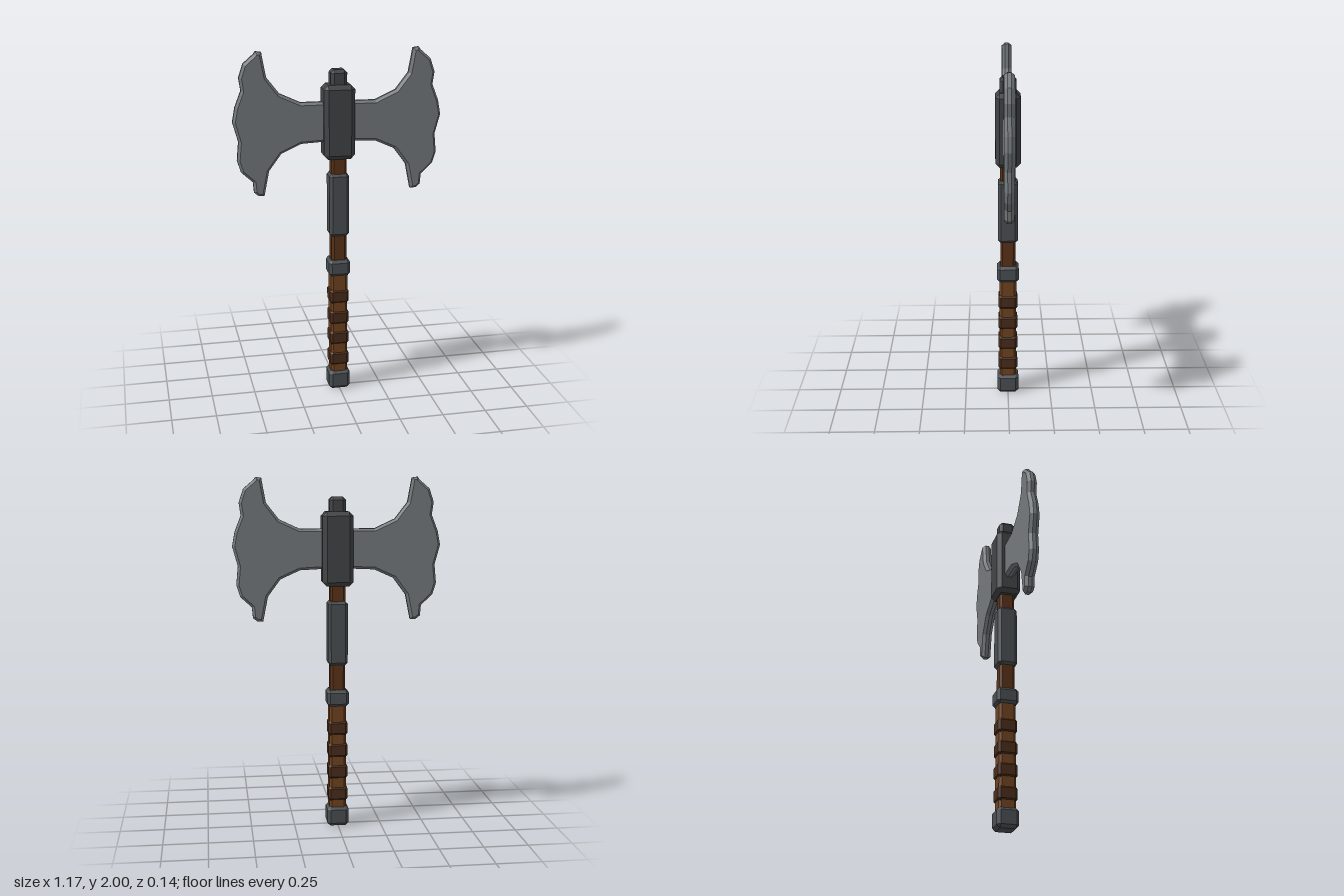
import * as THREE from 'three';
import { ConvexGeometry } from 'three/addons/geometries/ConvexGeometry.js';

const mat = (color) => new THREE.MeshStandardMaterial({ color, flatShading: true });

// Box with every edge chamfered by c; half sizes w, d, spanning y0..y1
function chamferBox(w, d, y0, y1, c) {
  const h = (y1 - y0) / 2;
  const points = [];
  for (const sx of [-1, 1]) for (const sy of [-1, 1]) for (const sz of [-1, 1]) {
    points.push(
      new THREE.Vector3(sx * w, sy * (h - c), sz * (d - c)),
      new THREE.Vector3(sx * (w - c), sy * h, sz * (d - c)),
      new THREE.Vector3(sx * (w - c), sy * (h - c), sz * d));
  }
  return new ConvexGeometry(points).translate(0, (y0 + y1) / 2, 0);
}

// Blade outline on the +x side, clockwise from the upper root
const BLADE = [
  [0.0, 1.715], [0.21, 1.715], [0.325, 1.768], [0.396, 1.86], [0.414, 1.96],
  [0.42, 1.995], [0.452, 2.0], [0.462, 1.985], [0.52, 1.935], [0.545, 1.86],
  [0.535, 1.79], [0.57, 1.7], [0.585, 1.62], [0.555, 1.51], [0.565, 1.405],
  [0.545, 1.34], [0.48, 1.28], [0.475, 1.22], [0.45, 1.2], [0.418, 1.2],
  [0.39, 1.34], [0.32, 1.435], [0.21, 1.485], [0.0, 1.495],
];

function bladeGeometry(side) {
  const shape = new THREE.Shape(BLADE.map(([x, y]) => new THREE.Vector2(side * x, y)));
  return new THREE.ExtrudeGeometry(shape, {
    depth: 0.02, bevelEnabled: true, bevelSegments: 1,
    bevelThickness: 0.018, bevelSize: 0.014, bevelOffset: -0.014,
  }).translate(0, 0, -0.01);
}

export function createModel() {
  const group = new THREE.Group();
  const steel = mat(0x74797c), iron = mat(0x4a4f52), darkIron = mat(0x424446);
  const wood = mat(0x5a3218), grip = mat(0x70431f), leather = mat(0x4a2c1a);

  const add = (name, geometry, material) => {
    const mesh = new THREE.Mesh(geometry, material);
    mesh.name = name;
    group.add(mesh);
  };

  // Handle
  add('shaft', chamferBox(0.043, 0.043, 0.05, 1.5, 0.013), wood);
  add('grip', chamferBox(0.048, 0.048, 0.08, 0.74, 0.013), grip);
  [0.192, 0.323, 0.45, 0.58].forEach((y, i) =>
    add(`gripWrap${i + 1}`, chamferBox(0.055, 0.055, y - 0.043, y + 0.043, 0.014), leather));

  // Metal fittings
  add('pommel', chamferBox(0.062, 0.062, 0, 0.115, 0.018), iron);
  add('gripCollar', chamferBox(0.062, 0.062, 0.708, 0.803, 0.016), iron);
  add('sleeve', chamferBox(0.056, 0.056, 0.945, 1.312, 0.016), iron);

  // Axe head
  add('headBlock', chamferBox(0.087, 0.07, 1.395, 1.81, 0.024), darkIron);
  add('topCap', chamferBox(0.046, 0.046, 1.79, 1.892, 0.018), darkIron);
  add('leftBlade', bladeGeometry(1), steel);
  add('rightBlade', bladeGeometry(-1), steel);

  return group;
}
